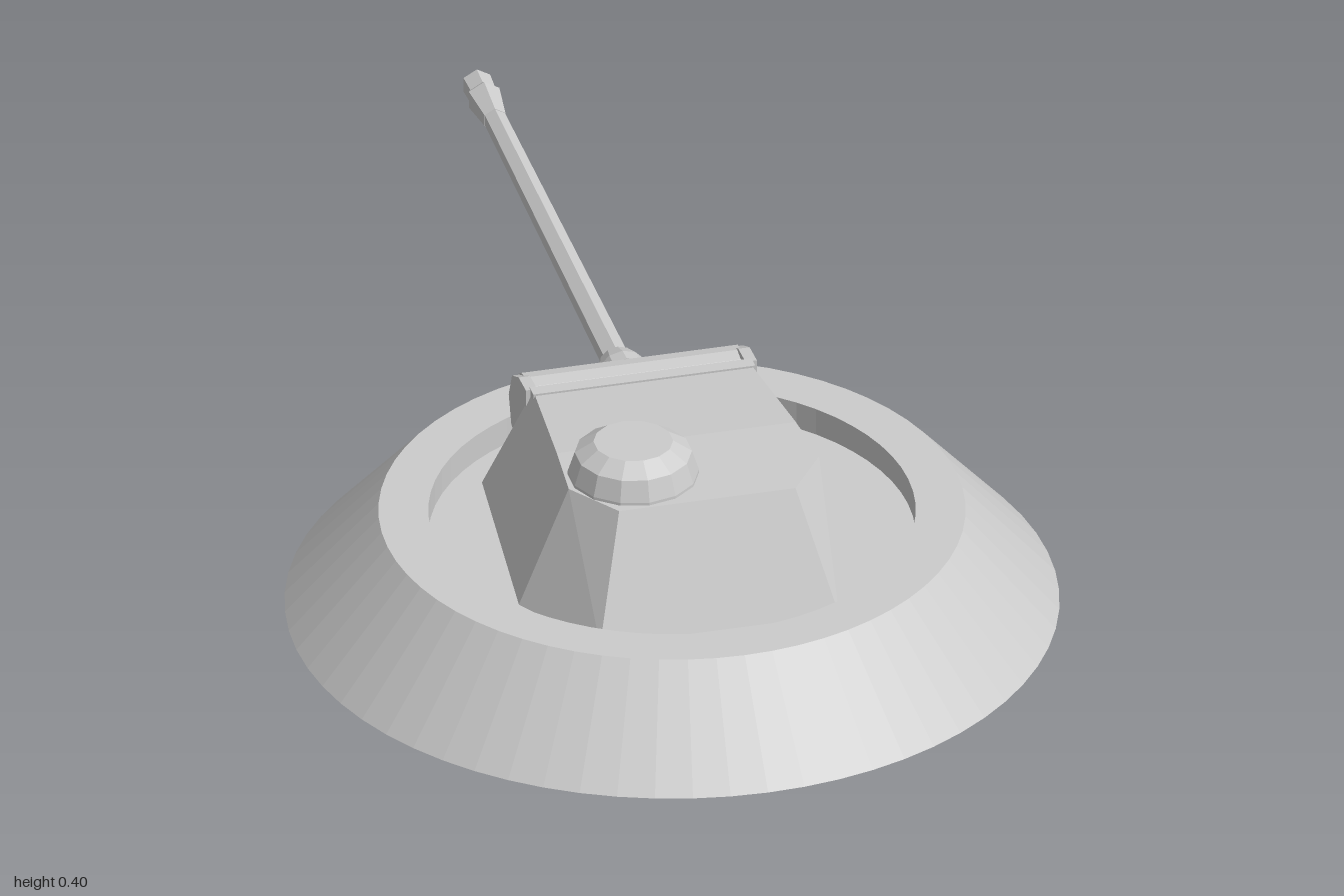
import * as THREE from 'three';
import { ConvexGeometry } from 'three/addons/geometries/ConvexGeometry.js';

const material = new THREE.MeshStandardMaterial({ color: 0xcccccc, flatShading: true });
const openMaterial = new THREE.MeshStandardMaterial({ color: 0xcccccc, flatShading: true, side: THREE.DoubleSide });

export function createModel() {
  const model = new THREE.Group();
  const pts = (list) => list.map(([r, y]) => new THREE.Vector2(r, y));

  function add(name, geometry, x = 0, y = 0, z = 0, mat = material) {
    const mesh = new THREE.Mesh(geometry, mat);
    mesh.name = name;
    mesh.position.set(x, y, z);
    model.add(mesh);
    return mesh;
  }

  // Convex solid from points given for x > 0 and mirrored across x = 0
  const mirroredHull = (list) => new ConvexGeometry(
    list.flatMap(([x, y, z]) => [new THREE.Vector3(x, y, z), new THREE.Vector3(-x, y, z)]));

  // Plate cut from a (z, y) outline, extruded along x and centred
  function sidePlate(outline, width) {
    const shape = new THREE.Shape(outline.map(([z, y]) => new THREE.Vector2(-z, y)));
    const geometry = new THREE.ExtrudeGeometry(shape, { depth: width, bevelEnabled: false });
    return geometry.translate(0, 0, -width / 2).rotateY(Math.PI / 2);
  }

  // Sloped earthwork ring with a sunken floor, open underneath
  add('emplacementRing', new THREE.LatheGeometry(pts([
    [0.66, 0], [0.5, 0.18], [0.415, 0.18], [0.415, 0.13], [0, 0.13],
  ]), 64), 0, 0, 0.34, openMaterial);

  // Track undersides that show below the floor
  for (const side of [1, -1]) {
    add('trackUnderside', sidePlate([
      [-0.02, 0.13], [0.03, 0.09], [0.61, 0.09], [0.66, 0.13],
    ], 0.07), side * 0.15, 0, 0);
  }

  // Turret shell with chamfered rear corners and a roof falling towards the gun
  add('turret', mirroredHull([
    [0.27, 0.13, 0.09], [0.31, 0.13, 0.5], [0.21, 0.13, 0.667],
    [0.19, 0.322, 0.13], [0.21, 0.34, 0.37], [0.22, 0.34, 0.49], [0.155, 0.34, 0.583],
  ]));

  // Commander's cupola
  add('cupola', new THREE.LatheGeometry(pts([
    [0.113, 0.32], [0.112, 0.345], [0.1, 0.382], [0.068, 0.403], [0, 0.403],
  ]), 14), -0.1, 0, 0.465);

  // Rolled gun mantlet, its end cheeks and the roof lip behind it
  const roll = new THREE.CylinderGeometry(0.064, 0.064, 0.38, 16).rotateZ(Math.PI / 2);
  add('mantlet', roll, 0, 0.252, 0.073);
  add('mantletLip', new THREE.BoxGeometry(0.39, 0.03, 0.025), 0, 0.312, 0.137);
  for (const side of [1, -1]) {
    add('mantletCheek', sidePlate([
      [0.13, 0.325], [0.08, 0.322], [0.035, 0.3], [0.012, 0.25],
      [0.03, 0.2], [0.1, 0.187], [0.13, 0.21],
    ], 0.02), side * 0.193, 0, 0);
  }

  // Gun: collar, barrel and muzzle brake, turned along -z
  function gunPart(name, profile, sides) {
    const geometry = new THREE.LatheGeometry(pts(profile), sides);
    add(name, geometry.rotateX(-Math.PI / 2), 0, 0.253, 0);
  }
  gunPart('gunCollar', [[0, -0.03], [0.048, -0.03], [0.046, 0], [0.034, 0.035], [0, 0.035]], 12);
  gunPart('barrel', [[0, 0], [0.025, 0], [0.02, 0.89], [0, 0.89]], 6);
  gunPart('muzzleBrake', [
    [0, 0.875], [0.021, 0.875], [0.031, 0.95], [0.025, 0.96], [0.027, 1], [0, 1],
  ], 6);

  return model;
}
